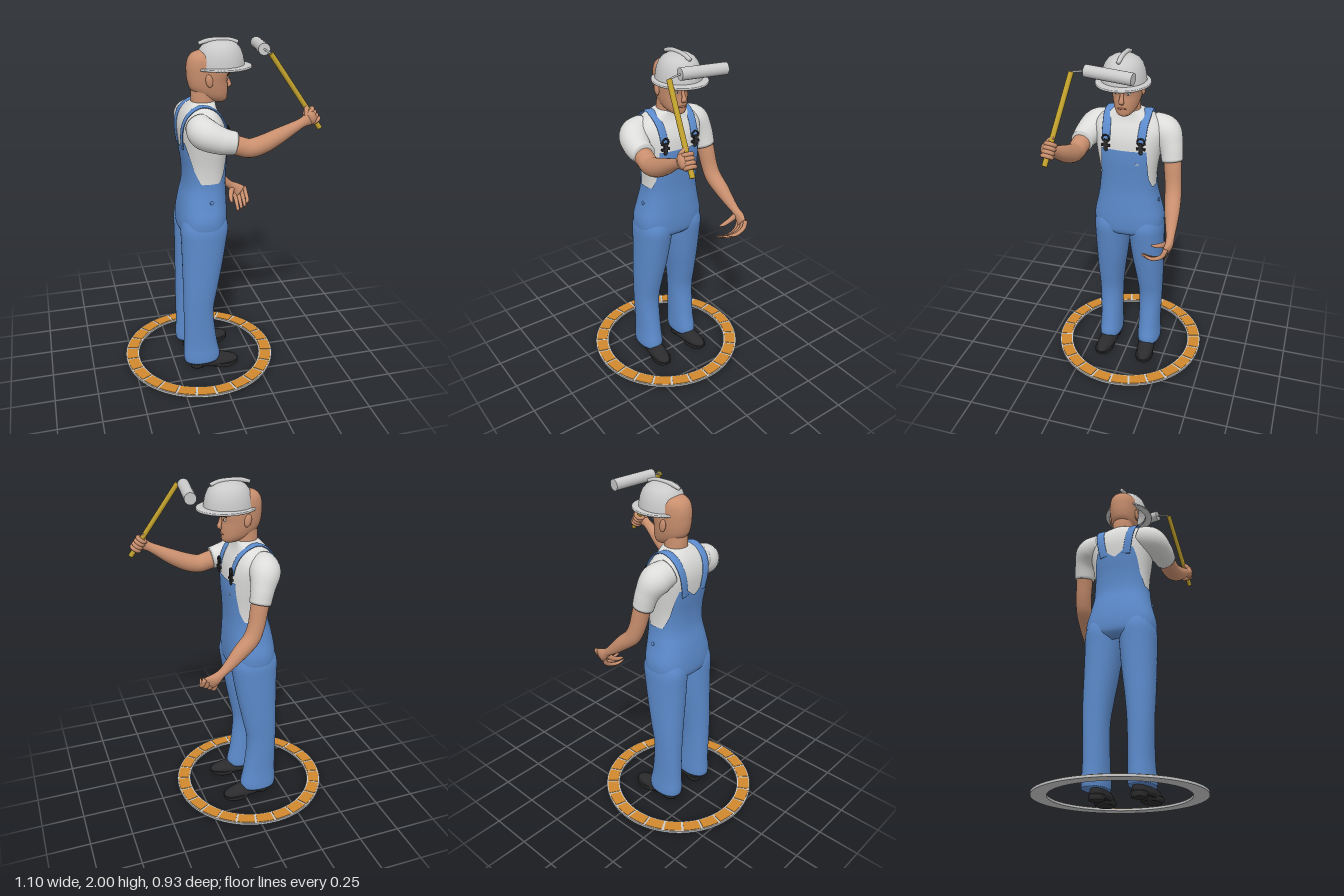
import * as THREE from 'three';

const V = (x, y, z) => new THREE.Vector3(x, y, z);
const paint = (name, color, side = THREE.FrontSide) => {
  const m = new THREE.MeshStandardMaterial({ color, side });
  m.name = name;
  return m;
};

// Catmull-Rom blend of equal-length rows, t counted in rows
function blend(rows, t) {
  const i = Math.min(Math.floor(t), rows.length - 2), f = t - i;
  const at = k => rows[Math.max(0, Math.min(rows.length - 1, k))];
  const [a, b, c, d] = [at(i - 1), at(i), at(i + 1), at(i + 2)];
  return b.map((q, k) => q + 0.5 * f * (c[k] - a[k]
    + f * (2 * a[k] - 5 * q + 4 * c[k] - d[k] + f * (3 * (q - c[k]) + d[k] - a[k]))));
}
const dense = (rows, n = 4) =>
  Array.from({ length: (rows.length - 1) * n + 1 }, (_, i) => blend(rows, i / n));

// Skin over closed rings of points, ordered from bottom to top
function skin(rings, capped = true) {
  const n = rings[0].length, pos = [], idx = [];
  rings.forEach(r => r.forEach(p => pos.push(p.x, p.y, p.z)));
  for (let j = 0; j < rings.length - 1; j++) for (let i = 0; i < n; i++) {
    const a = j * n + i, d = j * n + (i + 1) % n, b = a + n, c = d + n;
    idx.push(a, b, d, b, c, d);
  }
  if (capped) [0, rings.length - 1].forEach((j, end) => {
    const mid = rings[j].reduce((s, p) => s.add(p), V(0, 0, 0)).divideScalar(n);
    const m = pos.length / 3;
    pos.push(mid.x, mid.y, mid.z);
    for (let i = 0; i < n; i++) {
      const a = j * n + i, d = j * n + (i + 1) % n;
      end ? idx.push(a, m, d) : idx.push(a, d, m);
    }
  });
  const g = new THREE.BufferGeometry();
  g.setAttribute('position', new THREE.Float32BufferAttribute(pos, 3));
  g.setIndex(idx);
  g.computeVertexNormals();
  return g;
}

// Point on a level section [y, x0, x1, z0, z1]
const power = (c, e) => Math.sign(c) * Math.abs(c) ** e;
const onSection = ([y, x0, x1, z0, z1], a, n, grow = 0) => V(
  (x0 + x1) / 2 + ((x1 - x0) / 2 + grow) * power(Math.cos(a), 2 / n), y,
  (z0 + z1) / 2 + ((z1 - z0) / 2 + grow) * power(Math.sin(a), 2 / n));
const stack = (rows, n = 2, sides = 40) => skin(dense(rows).map(r =>
  Array.from({ length: sides }, (_, i) => onSection(r, i / sides * 2 * Math.PI, n))));

// Elliptic tube through [x, y, z, radiusAlongSide, otherRadius]
function sweep(pts, side, sides = 16) {
  const curve = new THREE.CatmullRomCurve3(pts.map(p => V(p[0], p[1], p[2])));
  const rows = dense(pts.map(p => [p[3], p[4] ?? p[3]]), 6);
  return skin(rows.map(([ra, rb], k) => {
    const s = k / (rows.length - 1), c = curve.getPoint(s), t = curve.getTangent(s);
    const u = side.clone().addScaledVector(t, -side.dot(t)).normalize();
    const v = u.clone().cross(t);
    return Array.from({ length: sides }, (_, i) => {
      const a = i / sides * 2 * Math.PI;
      return c.clone().addScaledVector(u, ra * Math.cos(a)).addScaledVector(v, rb * Math.sin(a));
    });
  }));
}

const X = V(1, 0, 0), Y = V(0, 1, 0), Z = V(0, 0, 1);
const sym = rows => rows.map(([y, x0, x1, w]) => [y, x0, x1, -w, w]);

const TORSO = dense(sym([
  [0.885, -0.15, 0.02, 0.1], [0.92, -0.195, 0.062, 0.185], [1.0, -0.2, 0.072, 0.2], [1.1, -0.185, 0.07, 0.178],
  [1.2, -0.163, 0.066, 0.16], [1.3, -0.163, 0.07, 0.163], [1.4, -0.177, 0.076, 0.178],
  [1.5, -0.187, 0.07, 0.195], [1.56, -0.18, 0.052, 0.197], [1.605, -0.163, 0.03, 0.168],
  [1.637, -0.14, 0.02, 0.12], [1.662, -0.115, 0.018, 0.072]]));
const N = 2.5;
function torsoAt(y) {
  const i = Math.max(1, TORSO.findIndex(r => r[0] >= y)), a = TORSO[i - 1], b = TORSO[i];
  return a.map((q, k) => q + (b[k] - q) * (y - a[0]) / (b[0] - a[0]));
}
// Depth of the chest (dir 1) or back (dir -1) at a given height and z
function torsoX(y, z, dir, grow) {
  const [, x0, x1, , w] = torsoAt(y);
  return (x0 + x1) / 2 + dir * ((x1 - x0) / 2 * (1 - Math.min(1, Math.abs(z) / w) ** N) ** (1 / N) + grow);
}

export function createModel() {
  const model = new THREE.Group();
  const white = paint('helmetWhite', 0xc9cac9, THREE.DoubleSide), shirt = paint('shirtWhite', 0xdcdddb);
  const denim = paint('denimBlue', 0x5c8bcc, THREE.DoubleSide), flesh = paint('skin', 0xc98f6e);
  const black = paint('black', 0x2b2b2d), yellow = paint('handleYellow', 0xbf9f2c);
  const orange = paint('tileOrange', 0xd0882c), brow = paint('browBrown', 0x4a3226), lip = paint('lip', 0xab6f58);
  const add = (name, geo, mat, x = 0, y = 0, z = 0) => {
    const m = new THREE.Mesh(geo, mat);
    m.name = name;
    m.position.set(x, y, z);
    model.add(m);
    return m;
  };
  const blob = (name, mat, p, s) => {
    const m = add(name, new THREE.SphereGeometry(1, 20, 14), mat, ...p);
    m.scale.set(...s);
    return m;
  };
  const rod = (name, mat, a, b, r) => {
    const m = add(name, new THREE.CylinderGeometry(r, r, a.distanceTo(b), 24), mat);
    m.position.copy(a).lerp(b, 0.5);
    m.quaternion.setFromUnitVectors(Y, b.clone().sub(a).normalize());
    return m;
  };

  // Ground ring with inset tiles
  const sector = (r0, r1, a0, a1, h) => {
    const s = new THREE.Shape();
    s.absarc(0, 0, r1, a0, a1, false);
    s.absarc(0, 0, r0, a1, a0, true);
    return new THREE.ExtrudeGeometry(s, { depth: h, bevelEnabled: false, curveSegments: 8 }).rotateX(-Math.PI / 2);
  };
  const disc = new THREE.Shape().absarc(0, 0, 0.465, 0, 2 * Math.PI, false);
  disc.holes.push(new THREE.Path().absarc(0, 0, 0.381, 0, 2 * Math.PI, true));
  add('groundRing', new THREE.ExtrudeGeometry(disc, { depth: 0.013, bevelEnabled: false, curveSegments: 96 })
    .rotateX(-Math.PI / 2), white, -0.08, 0.018, 0);
  const step = Math.PI / 12;
  for (let i = 0; i < 24; i++)
    add('ringTile', sector(0.39, 0.457, i * step + 0.015, (i + 1) * step - 0.015, 0.004), orange, -0.08, 0.03, 0);

  // Shirt body and overalls, whose upper edge follows the bib, sides and back panel
  add('shirtBody', skin(TORSO.filter(r => r[0] > 1.05).map(r =>
    Array.from({ length: 64 }, (_, i) => onSection(r, i / 32 * Math.PI, N)))), shirt);
  const edge = [[0, 1.455], [37.5, 1.455], [41, 1.4], [52, 1.28], [66, 1.225], [108, 1.225],
    [128, 1.3], [140, 1.4], [150, 1.46], [165, 1.46], [180, 1.41]];
  const edgeAt = deg => {
    const k = Math.max(1, edge.findIndex(e => e[0] >= deg - 1e-6)), [a, b] = [edge[k - 1], edge[k]];
    return a[1] + (b[1] - a[1]) * (deg - a[0]) / (b[0] - a[0]);
  };
  add('overallsBody', skin(Array.from({ length: 37 }, (_, j) => Array.from({ length: 144 }, (_, i) => {
    const deg = i * 2.5, y = 0.886 + (edgeAt(Math.min(deg, 360 - deg)) - 0.886) * j / 36;
    return onSection(torsoAt(y), deg * Math.PI / 180, N, 0.006);
  })), false), denim);
  add('bibLabel', new THREE.BoxGeometry(0.004, 0.006, 0.02), shirt, torsoX(1.38, 0.08, 1, 0.007), 1.38, -0.08);

  for (const s of [1, -1]) {
    // Trouser leg
    const leg = [[0.06, -0.2, 0.015, 0.06, 0.2], [0.1, -0.205, 0.02, 0.058, 0.2], [0.2, -0.2, 0, 0.06, 0.195],
      [0.4, -0.2, -0.02, 0.058, 0.2], [0.55, -0.2, 0.005, 0.042, 0.205], [0.7, -0.2, 0.035, 0.02, 0.207],
      [0.85, -0.202, 0.06, 0.004, 0.208], [0.95, -0.203, 0.072, 0, 0.206], [1.03, -0.18, 0.05, 0.02, 0.18]];
    add('trouserLeg', stack(leg.map(([y, a, b, c, d]) => [y, a, b, s > 0 ? c : -d, s > 0 ? d : -c]), 2.2), denim);

    // Shoe with separate heel and sole, toe turned slightly out
    const foot = new THREE.Group();
    foot.name = 'shoe';
    [['shoeUpper', [[0.015, -0.14, 0.12, 0.045], [0.03, -0.15, 0.145, 0.053], [0.05, -0.15, 0.135, 0.05],
      [0.066, -0.145, 0.09, 0.043], [0.085, -0.135, 0.02, 0.04], [0.11, -0.13, -0.01, 0.038]]],
    ['shoeHeel', [[0, -0.15, -0.06, 0.04], [0.03, -0.152, -0.055, 0.042]]],
    ['shoeSole', [[0, -0.02, 0.125, 0.05], [0.012, -0.03, 0.145, 0.055], [0.03, -0.03, 0.148, 0.055]]]
    ].forEach(([name, rows]) => {
      const m = new THREE.Mesh(stack(sym(rows), 2.3), black);
      m.name = name;
      foot.add(m);
    });
    foot.position.set(-0.01, 0, s * 0.128);
    foot.rotation.y = -s * 0.1;
    model.add(foot);

    // Strap from bib over the shoulder to the back panel, with buckle
    const on = (y, z, dir) => [torsoX(y, z, dir, 0.006), y, s * z, 0.024, 0.006];
    add('strap', sweep([on(1.5, 0.1, 1), on(1.55, 0.102, 1), on(1.6, 0.105, 1), [-0.02, 1.64, s * 0.108, 0.026, 0.006],
      [-0.075, 1.655, s * 0.106, 0.026, 0.006], [-0.125, 1.635, s * 0.102, 0.026, 0.006], on(1.595, 0.1, -1),
      on(1.54, 0.092, -1), on(1.48, 0.082, -1), on(1.42, 0.07, -1)], Z), denim);
    const bx = torsoX(1.5, 0.1, 1, 0.012);
    const loop = add('buckleLoop', new THREE.TorusGeometry(0.02, 0.005, 8, 20), black, bx, 1.515, s * 0.1);
    loop.rotation.y = Math.PI / 2;
    add('buckleClip', new THREE.BoxGeometry(0.012, 0.05, 0.02), black, bx + 0.002, 1.485, s * 0.1);
    add('buckleBar', new THREE.BoxGeometry(0.012, 0.012, 0.05), black, bx + 0.002, 1.475, s * 0.1);
    blob('bibButton', black, [torsoX(1.45, 0.1, 1, 0.01), 1.452, s * 0.1], [0.007, 0.012, 0.012]);
    blob('hipButton', denim, [-0.04, 1.12, s * 0.182], [0.011, 0.011, 0.006]);

    // Ear, eye and brow
    blob('ear', flesh, [-0.03, 1.785, s * 0.085], [0.02, 0.036, 0.011]).rotation.z = 0.2;
    const eye = blob('eye', shirt, [0.084, 1.786, s * 0.034], [0.005, 0.006, 0.013]);
    const iris = blob('iris', black, [0.087, 1.786, s * 0.034], [0.004, 0.0055, 0.0055]);
    eye.rotation.y = iris.rotation.y = -s * 0.35;
    add('brow', sweep([[0.097, 1.803, s * 0.014, 0.004], [0.094, 1.81, s * 0.034, 0.005],
      [0.079, 1.806, s * 0.053, 0.003]], Y, 10), brow);
  }

  // Neck, head and face
  add('neck', stack(sym([[1.58, -0.13, 0.02, 0.07], [1.64, -0.115, 0.016, 0.065], [1.69, -0.115, 0.02, 0.062],
    [1.74, -0.11, 0.02, 0.06]])), flesh);
  add('head', stack(sym([[1.652, 0.025, 0.068, 0.02], [1.664, -0.02, 0.086, 0.04], [1.69, -0.075, 0.091, 0.06],
    [1.73, -0.118, 0.092, 0.073], [1.77, -0.132, 0.09, 0.08], [1.81, -0.137, 0.097, 0.084], [1.86, -0.137, 0.095, 0.085],
    [1.9, -0.125, 0.08, 0.078], [1.925, -0.1, 0.05, 0.058], [1.938, -0.06, 0.0, 0.025]]), 2.1), flesh);
  add('nose', sweep([[0.088, 1.8, 0, 0.009], [0.098, 1.765, 0, 0.01], [0.103, 1.743, 0, 0.015, 0.012],
    [0.094, 1.73, 0, 0.01, 0.006]], Z), flesh);
  blob('mouth', lip, [0.088, 1.703, 0], [0.008, 0.0065, 0.024]);

  // Helmet
  const lathe = pts => new THREE.LatheGeometry(pts.map(p => new THREE.Vector2(...p)), 64);
  const dome = add('helmetDome', lathe([[1, 0], [0.98, 0.03], [0.93, 0.065], [0.83, 0.098], [0.68, 0.122],
    [0.48, 0.137], [0.25, 0.143], [0.001, 0.145]]), white, 0.05, 1.842, 0);
  dome.scale.set(0.136, 1, 0.121);
  const brim = add('helmetBrim', lathe([[0.72, -0.002], [1, -0.005], [1.005, 0.001], [0.99, 0.006], [0.72, 0.012]]),
    white, 0.063, 1.844, 0);
  brim.scale.set(0.163, 1, 0.147);
  add('helmetRidge', sweep([[-0.07, 1.971, 0, 0.011, 0.01], [-0.02, 1.984, 0, 0.012, 0.013], [0.04, 1.987, 0, 0.012, 0.013],
    [0.1, 1.984, 0, 0.012, 0.013], [0.15, 1.971, 0, 0.011, 0.01]], Z), white);

  // Raised right arm
  add('rightSleeve', sweep([[-0.1, 1.555, 0.12, 0.075], [-0.085, 1.53, 0.195, 0.086], [0, 1.495, 0.232, 0.073],
    [0.075, 1.48, 0.238, 0.063]], Y, 28), shirt);
  add('rightArm', sweep([[0, 1.49, 0.235, 0.054], [0.08, 1.468, 0.242, 0.053], [0.15, 1.45, 0.25, 0.052],
    [0.22, 1.467, 0.255, 0.051], [0.31, 1.51, 0.262, 0.043], [0.39, 1.555, 0.273, 0.031],
    [0.435, 1.58, 0.278, 0.025, 0.027], [0.47, 1.598, 0.28, 0.024, 0.036]], Z, 24), flesh);

  // Paint roller
  const top = V(0.267, 1.94, 0.21), end = V(0.54, 1.538, 0.265);
  rod('rollerHandle', yellow, top, end, 0.014);
  rod('rollerSleeve', white, V(0.255, 1.95, 0.138), V(0.292, 1.942, -0.12), 0.032);
  add('rollerWire', sweep([[0.267, 1.94, 0.208, 0.005], [0.26, 1.945, 0.175, 0.005], [0.256, 1.95, 0.135, 0.005]], Y, 8), white);

  // Right fist around the handle
  blob('rightPalm', flesh, [0.478, 1.605, 0.277], [0.032, 0.042, 0.026]).rotation.z = 0.55;
  const along = end.clone().sub(top).normalize();
  for (let i = 0; i < 4; i++) {
    const finger = add('rightFinger', new THREE.TorusGeometry(0.024, 0.0115, 10, 24), flesh);
    finger.position.copy(top).lerp(end, 0.765 + i * 0.043);
    finger.quaternion.setFromUnitVectors(Z, along);
  }
  add('rightThumb', sweep([[0.455, 1.595, 0.285, 0.014], [0.455, 1.635, 0.275, 0.013], [0.462, 1.66, 0.25, 0.01],
    [0.468, 1.665, 0.235, 0.005]], X, 12), flesh);

  // Lowered left arm
  add('leftSleeve', sweep([[-0.1, 1.555, -0.12, 0.075], [-0.085, 1.53, -0.2, 0.086], [-0.06, 1.46, -0.238, 0.068],
    [-0.04, 1.375, -0.253, 0.06]], X, 28), shirt);
  add('leftArm', sweep([[-0.06, 1.45, -0.245, 0.05], [-0.035, 1.36, -0.257, 0.05], [-0.01, 1.25, -0.27, 0.047],
    [0.02, 1.185, -0.278, 0.047], [0.085, 1.125, -0.29, 0.043], [0.15, 1.065, -0.302, 0.032],
    [0.2, 1.025, -0.31, 0.024], [0.24, 0.995, -0.312, 0.022, 0.036], [0.272, 0.972, -0.3, 0.016, 0.042]], Z, 24), flesh);
  for (let i = 0; i < 4; i++) {
    const x = 0.232 + i * 0.022, y = 0.012 * i, tip = i === 3 ? 0.02 : 0;
    add('leftFinger', sweep([[x, 0.965 + y, -0.308, 0.013], [x + 0.006, 0.925 + y, -0.29, 0.0125],
      [x + 0.004, 0.9 + y, -0.25, 0.011], [x - 0.004, 0.892 + y, -0.205 - tip, 0.01],
      [x - 0.012, 0.902 + y, -0.165 - tip, 0.005]], X, 12), flesh);
  }
  add('leftThumb', sweep([[0.215, 1.0, -0.305, 0.018], [0.2, 0.97, -0.275, 0.015], [0.192, 0.95, -0.235, 0.012],
    [0.19, 0.945, -0.2, 0.005]], X, 12), flesh);

  return model;
}
